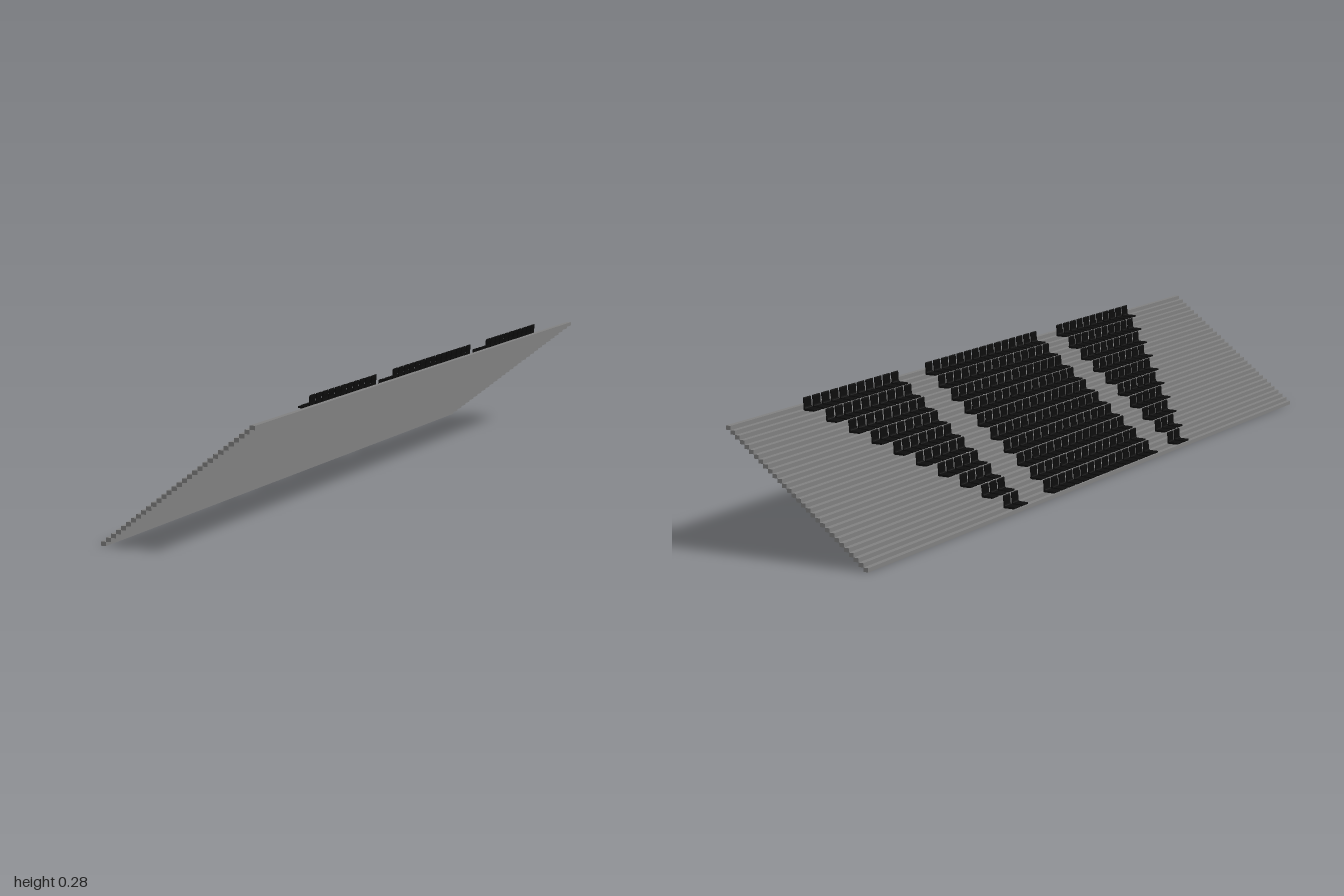
import * as THREE from 'three';

const STEPS = 30, STEP_RUN = 0.0114, STEP_RISE = 0.00877;
const ROWS = 10, SEAT_PITCH = 0.0337, SEAT_WIDTH = 0.0263;

// Side profile of a chair, extruded across its width; the sitter faces -x
function seatGeometry() {
  const s = new THREE.Shape();
  s.moveTo(0, 0.0004);
  s.lineTo(0.001, 0);
  s.lineTo(0.0245, 0);
  s.quadraticCurveTo(0.0272, 0.0002, 0.0272, 0.003);
  s.lineTo(0.0268, 0.013);
  s.lineTo(0.0283, 0.0215);
  s.quadraticCurveTo(0.0288, 0.0275, 0.0272, 0.0283);
  s.quadraticCurveTo(0.0252, 0.0275, 0.0252, 0.0215);
  s.lineTo(0.0244, 0.0085);
  s.quadraticCurveTo(0.0238, 0.0045, 0.0205, 0.0042);
  s.lineTo(0.001, 0.004);
  s.lineTo(0, 0.0034);
  s.closePath();
  return new THREE.ExtrudeGeometry(s, { depth: SEAT_WIDTH, bevelEnabled: false, curveSegments: 3 });
}

export function createModel() {
  const model = new THREE.Group();
  model.name = 'grandstand';
  const stepMaterial = new THREE.MeshStandardMaterial({ color: 0x808080 });
  const seatMaterial = new THREE.MeshStandardMaterial({ color: 0x0c0c0c });

  // Terrace: a rising flight of long treads
  const terrace = new THREE.Group();
  terrace.name = 'terrace';
  const tread = new THREE.BoxGeometry(STEP_RUN, STEP_RISE, 2);
  for (let i = 0; i < STEPS; i++) {
    const step = new THREE.Mesh(tread, stepMaterial);
    step.name = 'step';
    step.position.set(-0.1645 + (i + 0.5) * STEP_RUN, (i + 0.5) * STEP_RISE, 0);
    terrace.add(step);
  }
  model.add(terrace);

  // Seating blocks: first seat edge, direction along z, seats in the given row
  const seat = seatGeometry();
  const blocks = [
    { name: 'middleSeats', start: -0.2785, dir: 1, count: () => 15 },
    { name: 'frontSeats', start: 0.321, dir: 1, count: (row) => row + 2 },
    { name: 'backSeats', start: -0.393, dir: -1, count: (row) => row + 2 },
  ];
  for (const { name, start, dir, count } of blocks) {
    const block = new THREE.Group();
    block.name = name;
    for (let row = 0; row < ROWS; row++) {
      for (let k = 0; k < count(row); k++) {
        const chair = new THREE.Mesh(seat, seatMaterial);
        chair.name = 'seat';
        const edge = start + dir * k * SEAT_PITCH;
        chair.position.set(
          -0.178 + row * 3 * STEP_RUN,
          0.017 + row * 3 * STEP_RISE,
          dir > 0 ? edge : edge - SEAT_WIDTH
        );
        block.add(chair);
      }
    }
    model.add(block);
  }
  return model;
}
